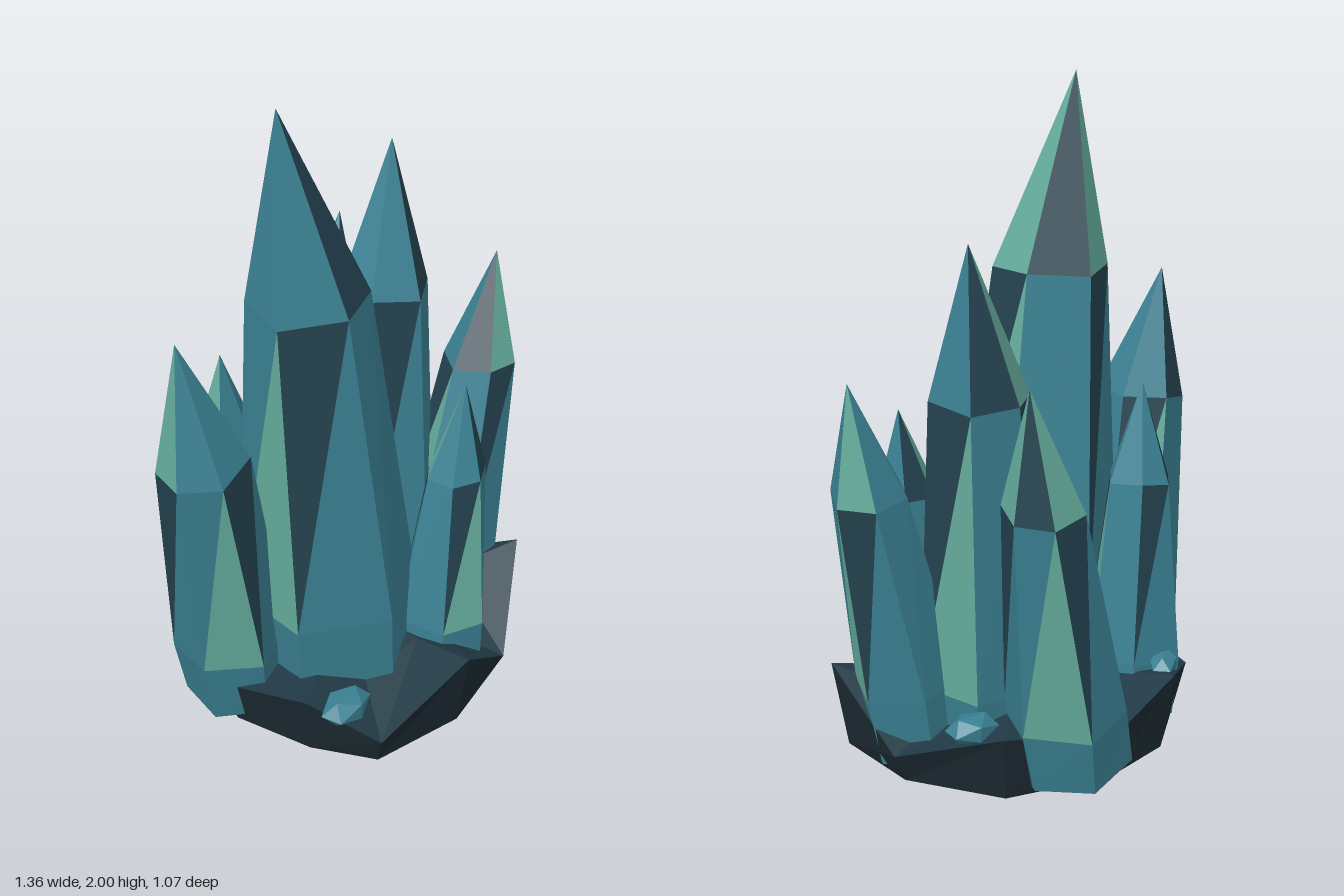
import * as THREE from 'three';

const paint = (color) => new THREE.MeshStandardMaterial({ color, flatShading: true });
const materials = {
  teal: paint(0x3a8092),
  mint: paint(0x64ac9c),
  navy: paint(0x24424f),
  rockSide: paint(0x1c2a32),
  rockTop: paint(0x213a46),
};

// Small seeded generator, returns -1..1
function seeded(seed) {
  let s = seed * 7919 + 17;
  return () => {
    s = (s * 16807) % 2147483647;
    return (s / 2147483647) * 2 - 1;
  };
}

// Faces between stacked rings, closed by a bottom and a top point.
// pick(band, side, half) names the material of each triangle.
function loft(name, rings, bottom, top, pick) {
  const buckets = {};
  const add = (key, ...pts) => {
    (buckets[key] ??= []).push(...pts.flat());
  };
  const n = rings[0].length;
  const last = rings.length - 1;
  for (let i = 0; i < n; i++) {
    const j = (i + 1) % n;
    add(pick(-1, i, 0), rings[0][i], rings[0][j], bottom);
    for (let b = 0; b < last; b++) {
      const lo = rings[b], hi = rings[b + 1];
      add(pick(b, i, 0), lo[i], hi[i], lo[j]);
      add(pick(b, i, 1), hi[i], hi[j], lo[j]);
    }
    add(pick(last, i, 0), rings[last][i], top, rings[last][j]);
  }
  const group = new THREE.Group();
  group.name = name;
  for (const key in buckets) {
    const g = new THREE.BufferGeometry();
    g.setAttribute('position', new THREE.Float32BufferAttribute(buckets[key], 3));
    g.computeVertexNormals();
    const m = new THREE.Mesh(g, materials[key]);
    m.name = key + 'Facets';
    group.add(m);
  }
  return group;
}

// Six-sided crystal: foot, widest collar and shoulder rings, then a pointed tip.
// collar and shoulder are [x, y, z, radius]
function crystal(name, turn, collar, shoulder, tip, seed) {
  const rnd = seeded(seed);
  const sides = 6;
  const rise = shoulder[1] - collar[1];
  const lean = [(shoulder[0] - collar[0]) / rise, (shoulder[2] - collar[2]) / rise];
  const drop = collar[1] - 0.05;
  const foot = [collar[0] - lean[0] * drop, 0.05, collar[2] - lean[1] * drop, collar[3] * 0.98];
  const ring = ([x, y, z, r], twist, wobble) =>
    Array.from({ length: sides }, (_, i) => {
      const a = ((i + twist + rnd() * 0.06) / sides) * Math.PI * 2 + turn;
      const q = r * (1.03 + rnd() * 0.04);
      const dx = Math.cos(a) * q, dz = Math.sin(a) * q;
      // rings tilt square to the leaning axis
      return [x + dx, y - (dx * lean[0] + dz * lean[1]) * 0.7 + rnd() * wobble, z + dz];
    });
  const rings = [ring(foot, 0, 0), ring(collar, 0, 0.015), ring(shoulder, 0.06, 0.015)];
  const pick = (band, i, half) => {
    if (band === 2) return ['teal', 'mint', 'navy', 'teal'][(i + seed) % 4];
    if (band === 1 && half === 0) return ['teal', 'mint', 'teal'][(i + seed) % 3];
    if (band === 1) return ['teal', 'navy'][(i + seed) % 2];
    return 'teal';
  };
  return loft(name, rings, foot.slice(0, 3), tip, pick);
}

// Jagged rock base with a low faceted top
function rockBase() {
  const rim = [
    [0.6, 0.1, 0.03], [0.53, 0.29, 0.33], [0.21, 0.075, 0.49], [-0.07, 0.25, 0.535],
    [-0.4, 0.1, 0.445], [-0.485, 0.2, 0.23], [-0.51, 0.15, -0.06], [-0.38, 0.12, -0.39],
    [-0.06, 0.26, -0.535], [0.2, 0.17, -0.5], [0.5, 0.22, -0.3],
  ];
  const sole = rim.map(([x, , z]) => [x * 0.925, 0, z * 0.925]);
  const inner = rim.map(([x, y, z]) => [x * 0.6, 0.12 + y * 0.4, z * 0.6]);
  return loft('rockBase', [sole, rim, inner], [0.04, 0, 0], [0, 0.22, 0],
    (band) => (band > 0 ? 'rockTop' : 'rockSide'));
}

// Little faceted gem lying on the rock
function gem(name, pos, size, yaw) {
  const m = new THREE.Mesh(new THREE.IcosahedronGeometry(1, 0), materials.teal);
  m.name = name;
  m.position.set(...pos);
  m.scale.set(...size);
  m.rotation.y = yaw;
  return m;
}

export function createModel() {
  const model = new THREE.Group();
  model.name = 'crystalCluster';
  model.add(
    rockBase(),
    crystal('mainCrystal', -0.29, [-0.145, 0.38, 0.06, 0.27], [-0.245, 1.41, 0.06, 0.176], [-0.36, 2, 0.05], 1),
    crystal('leftTallCrystal', 0.52, [0.25, 0.28, -0.05, 0.21], [0.322, 1.18, -0.09, 0.148], [0.405, 1.65, -0.115], 2),
    crystal('rightCrystal', 0.85, [-0.41, 0.26, -0.12, 0.172], [-0.545, 0.95, -0.095, 0.132], [-0.61, 1.355, -0.12], 3),
    crystal('leftOuterCrystal', 0.1, [0.43, 0.27, 0.11, 0.165], [0.555, 0.9, 0.135, 0.117], [0.63, 1.26, 0.14], 4),
    crystal('backLeftCrystal', 0.08, [0.27, 0.25, -0.36, 0.18], [0.412, 0.93, -0.375, 0.12], [0.49, 1.31, -0.38], 5),
    crystal('frontCrystal', 0.45, [0.11, 0.25, 0.31, 0.148], [0.153, 0.735, 0.32, 0.094], [0.2, 1.02, 0.315], 6),
    crystal('backCrystal', 0.4, [-0.165, 0.25, -0.315, 0.15], [-0.2, 0.82, -0.31, 0.1], [-0.23, 1.11, -0.29], 7),
    gem('frontGem', [-0.41, 0.19, 0.32], [0.1, 0.048, 0.066], 0.1),
    gem('leftGem', [0.495, 0.22, -0.18], [0.088, 0.046, 0.06], -0.35),
    gem('backGem', [-0.13, 0.25, -0.45], [0.075, 0.038, 0.05], 0.5),
  );
  return model;
}
